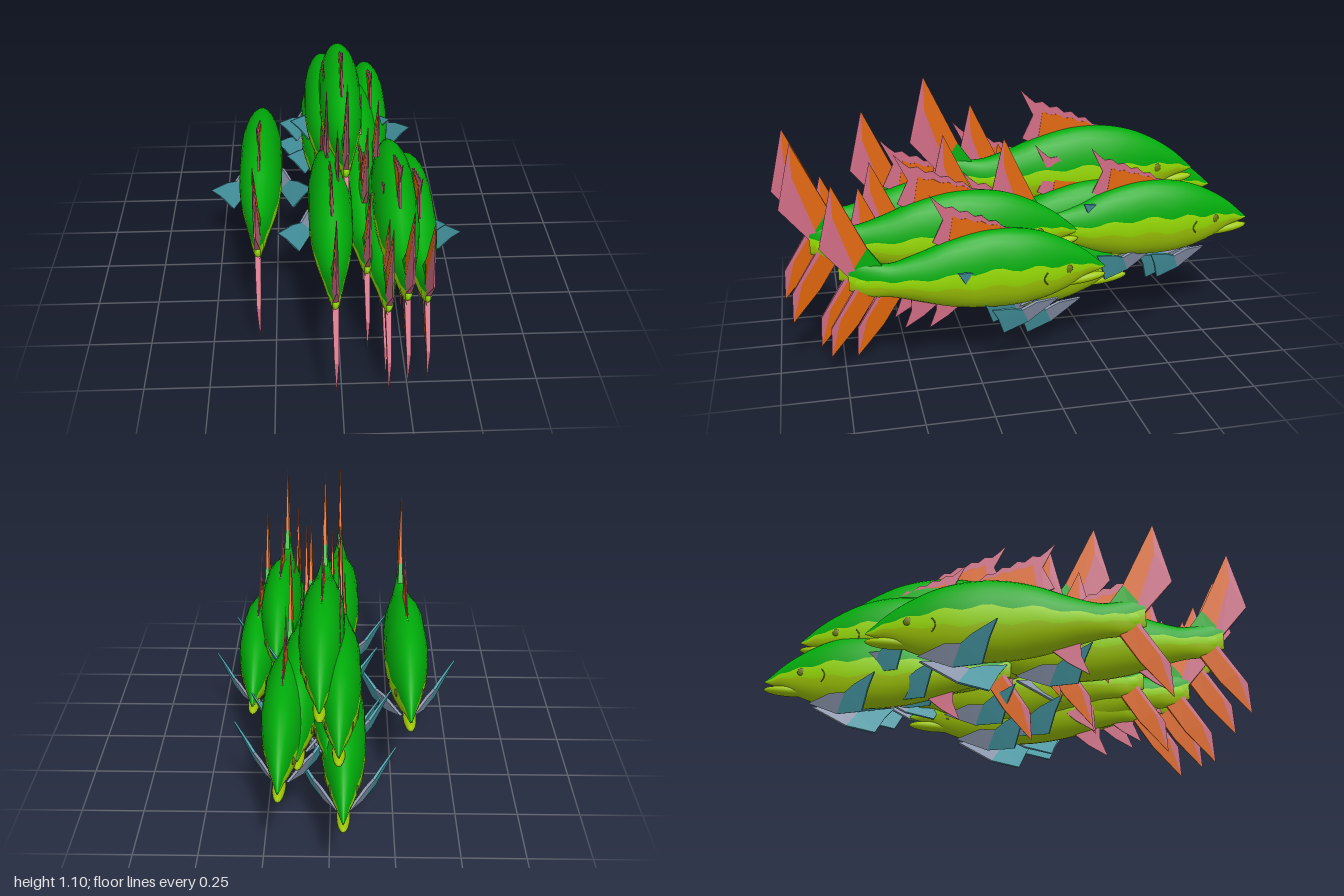
import * as THREE from 'three';

const mat = (name, color, side = THREE.FrontSide) => {
  const m = new THREE.MeshStandardMaterial({ color, side });
  m.name = name;
  return m;
};
const D = THREE.DoubleSide;
const green = mat('backGreen', 0x00ac0a, D);
const lime = mat('sideLime', 0x98dc04);
const olive = mat('bellyYellowGreen', 0xa0c804);
const orange = mat('finOrange', 0xe0660c, D);
const pink = mat('finPink', 0xd06c84, D);
const teal = mat('finTeal', 0x489ca8, D);
const greyBlue = mat('finGreyBlue', 0x8c98b0, D);
const dark = mat('eyeOlive', 0x6c7810);

// Body stations: z from the nose, top, bottom, half width
const STATIONS = [
  [0.005, -0.035, -0.04, 0.002], [0.035, -0.008, -0.052, 0.011], [0.09, 0.04, -0.07, 0.028],
  [0.17, 0.092, -0.115, 0.05], [0.28, 0.142, -0.155, 0.075], [0.4, 0.167, -0.173, 0.088],
  [0.54, 0.167, -0.173, 0.088], [0.68, 0.135, -0.155, 0.084], [0.81, 0.085, -0.12, 0.066],
  [0.92, 0.055, -0.092, 0.043], [1.0, 0.06, -0.085, 0.028], [1.09, 0.07, -0.05, 0.011],
];
const curveA = new THREE.CatmullRomCurve3(STATIONS.map(s => new THREE.Vector3(s[0], s[1], s[2])));
const curveB = new THREE.CatmullRomCurve3(STATIONS.map(s => new THREE.Vector3(s[0], s[3], 0)));

// Point on the body skin at station parameter t and angle a (0 = left side, up = PI/2)
function skin(t, a) {
  const p = curveA.getPoint(t), w = curveB.getPoint(t).y;
  const mid = (p.y + p.z) / 2, h = (p.y - p.z) / 2;
  return [w * Math.cos(a), mid + h * Math.sin(a), p.x];
}

// Smooth lofted body with gently wavy coloured bands around its girth
function bodyGeometry() {
  const P = Math.PI;
  const bands = [
    [0.12, P - 0.12, 12, 0], [P - 0.12, P + 0.3, 2, 1],
    [P + 0.3, 2 * P - 0.3, 10, 2], [2 * P - 0.3, 2 * P + 0.12, 2, 1],
  ];
  const angles = [];
  bands.forEach(([a, b, n]) => { for (let k = 0; k < n; k++) angles.push(a + (b - a) * k / n); });
  const n = angles.length, rings = 40, pos = [], index = [];
  for (let i = 0; i <= rings; i++) {
    const wave = 0.06 * Math.sin(i * 1.3);
    angles.forEach(a => pos.push(...skin(i / rings, a + wave * Math.cos(a))));
  }
  const g = new THREE.BufferGeometry();
  let first = 0;
  bands.forEach(([, , count, m]) => {
    const start = index.length;
    for (let i = 0; i < rings; i++) {
      for (let k = first; k < first + count; k++) {
        const a = i * n + k, b = i * n + (k + 1) % n;
        index.push(a, b, b + n, a, b + n, a + n);
      }
    }
    g.addGroup(start, index.length - start, m);
    first += count;
  });
  g.setAttribute('position', new THREE.Float32BufferAttribute(pos, 3));
  g.setIndex(index);
  g.computeVertexNormals();
  return g;
}

// Flat-shaded fin from outline points [z, y, half thickness]
function slab(points) {
  const tris = THREE.ShapeUtils.triangulateShape(points.map(p => new THREE.Vector2(p[0], p[1])), []);
  const n = points.length, pos = [], index = [];
  for (const s of [1, -1]) points.forEach(([z, y, t]) => pos.push(s * t, y, z));
  tris.forEach(([a, b, c]) => index.push(a, c, b, a + n, b + n, c + n));
  for (let i = 0; i < n; i++) {
    const j = (i + 1) % n;
    index.push(i, j, j + n, i, j + n, i + n);
  }
  const g = new THREE.BufferGeometry();
  g.setAttribute('position', new THREE.Float32BufferAttribute(pos, 3));
  g.setIndex(index);
  const flat = g.toNonIndexed();
  flat.computeVertexNormals();
  return flat;
}

function buildFish() {
  const fish = new THREE.Group();
  const add = (name, geometry, material) => {
    const m = new THREE.Mesh(geometry, material);
    m.name = name;
    fish.add(m);
    return m;
  };
  add('body', bodyGeometry(), [green, lime, olive]);

  // Jutting lower jaw
  const jaw = add('lowerJaw', new THREE.SphereGeometry(1, 16, 10), olive);
  jaw.scale.set(0.026, 0.022, 0.11);
  jaw.position.set(0, -0.084, 0.112);
  jaw.rotation.x = 0.12;

  // Rounded lime end of the tail stalk
  const stalk = add('tailStalk', new THREE.SphereGeometry(1, 16, 12), lime);
  stalk.scale.set(0.025, 0.05, 0.085);
  stalk.position.set(0, -0.015, 1.0);

  // Eyes and gill edges on both sides
  for (const s of [1, -1]) {
    const eye = add('eye', new THREE.SphereGeometry(0.018, 12, 8), dark);
    eye.scale.x = 0.4;
    eye.position.set(s * 0.05, -0.015, 0.18);
    const gill = [];
    for (let k = 0; k <= 6; k++) {
      const p = skin(0.36 + 0.012 * Math.sin(Math.PI * k / 6), -0.45 + 0.4 * k / 6);
      gill.push(new THREE.Vector3(s * p[0], p[1], p[2]));
    }
    add('gillEdge', new THREE.TubeGeometry(new THREE.CatmullRomCurve3(gill), 12, 0.003, 5), dark);
  }

  // Dorsal fin with a ragged crest, pink around an orange web
  const crest = (lift, t) => {
    const out = [];
    for (let k = 0; k <= 10; k++) {
      const u = k / 10;
      const y = 0.17 + 0.13 * Math.pow(u, 0.8) - (k % 2 ? 0.014 : 0);
      out.push([0.42 + 0.3 * u, y * lift + 0.15 * (1 - lift), t]);
    }
    return out;
  };
  add('dorsalFin', slab([[0.42, 0.15, 0.006], ...crest(1, 0.002), [0.755, 0.335, 0.001],
    [0.7, 0.225, 0.003], [0.745, 0.13, 0.003], [0.7, 0.11, 0.006]]), pink);
  add('dorsalWeb', slab([[0.43, 0.14, 0.008], ...crest(0.7, 0.004).slice(0, 9),
    [0.68, 0.12, 0.008]]), orange);

  // Deeply forked tail: green root, orange blades, pink trailing edges
  add('tailRoot', slab([[0.95, 0.045, 0.012], [1.01, 0.13, 0.008],
    [1.065, 0.05, 0.013], [1.04, -0.01, 0.013]]), green);
  add('tailUpperBlade', slab([[1.01, 0.13, 0.008], [1.14, 0.4, 0.001],
    [1.14, 0.27, 0.006], [1.065, 0.05, 0.013]]), orange);
  add('tailUpperEdge', slab([[1.14, 0.4, 0.001], [1.2, 0.14, 0.003], [1.08, 0, 0.011],
    [1.04, -0.01, 0.013], [1.065, 0.05, 0.013], [1.14, 0.27, 0.006]]), pink);
  add('tailLowerBlade', slab([[0.98, -0.07, 0.01], [1.04, -0.03, 0.013],
    [1.13, -0.17, 0.01], [1.175, -0.34, 0.001], [1.06, -0.2, 0.005]]), orange);
  add('tailLowerEdge', slab([[1.04, -0.03, 0.013], [1.06, -0.03, 0.012],
    [1.17, -0.21, 0.008], [1.175, -0.34, 0.001], [1.13, -0.17, 0.01]]), pink);

  // Anal fin
  add('analFin', slab([[0.72, -0.13, 0.006], [0.84, -0.09, 0.006],
    [0.84, -0.16, 0.003], [0.87, -0.24, 0.001], [0.79, -0.19, 0.003]]), pink);

  // Paired pectoral fins: tilted blades sweeping out and back
  for (const s of [1, -1]) {
    const root = add('pectoralRoot', slab([[-0.17, -0.16, 0.005], [-0.04, -0.14, 0.006],
      [0.035, -0.155, 0.006], [-0.02, -0.235, 0.005]]), greyBlue);
    const blade = add('pectoralBlade', slab([[0.035, -0.155, 0.006],
      [-0.02, -0.235, 0.005], [0.11, -0.25, 0.004], [0.16, -0.16, 0.004],
      [0.205, -0.1, 0.003], [0.09, -0.13, 0.005]]), teal);
    for (const m of [root, blade]) {
      m.position.set(s * 0.145, 0, 0.347);
      m.rotation.set(0, s * 0.484, -s * 0.3);
    }
  }
  return fish;
}

// School: x, height of body axis, z of nose, scale
const SCHOOL = [
  [-0.305, 0.5, -0.53, 1], [-0.052, 0.415, -1.0, 0.94], [0.172, 0.505, -0.955, 0.92],
  [-0.035, 0.595, -0.87, 0.93], [0.034, 0.7, -0.755, 1], [0.318, 0.398, -0.29, 0.93],
  [0.226, 0.525, -0.2, 0.97], [-0.027, 0.52, -0.17, 0.97], [0.105, 0.41, -0.47, 0.95],
  [0.172, 0.327, -0.43, 0.96], [0.002, 0.49, -0.77, 0.95], [0.114, 0.5, -0.77, 0.96],
  [0.172, 0.385, -0.29, 0.96],
];

export function createModel() {
  const model = new THREE.Group();
  model.name = 'schoolOfFish';
  const template = buildFish();
  SCHOOL.forEach(([x, y, z, s], i) => {
    const fish = template.clone();
    fish.name = 'fish' + (i + 1);
    fish.position.set(x, y, z);
    fish.scale.setScalar(s);
    model.add(fish);
  });
  return model;
}
